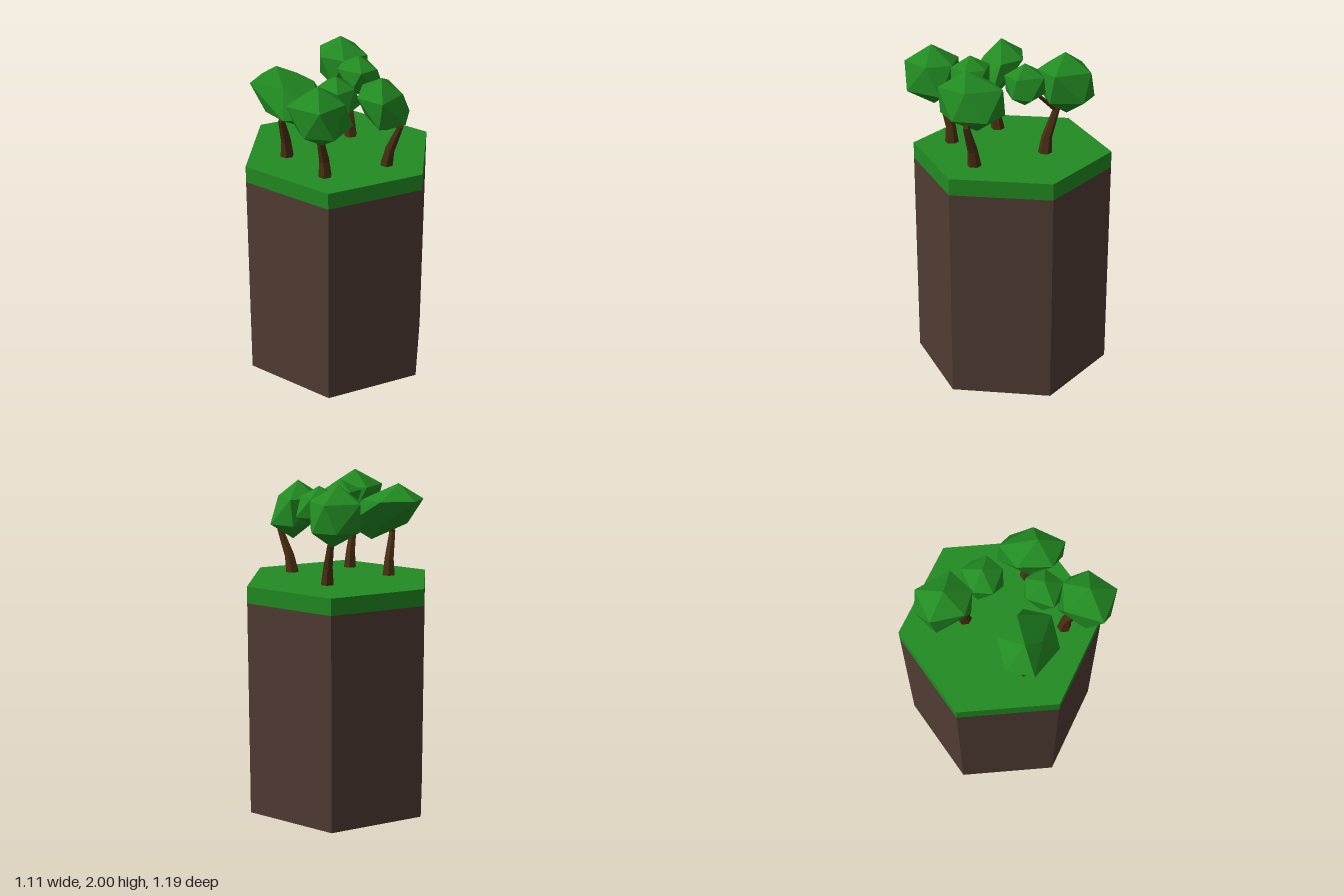
import * as THREE from 'three';
import { ConvexGeometry } from 'three/addons/geometries/ConvexGeometry.js';

const material = (name, color) => new THREE.MeshStandardMaterial({ name, color, flatShading: true });

// Faceted tube through a path, with one radius per path point
function limbGeometry(path, radii, sides = 6) {
  const points = path.map((p) => new THREE.Vector3(...p));
  const up = new THREE.Vector3(0, 1, 0);
  const positions = [], index = [];
  points.forEach((p, i) => {
    const before = points[Math.max(i - 1, 0)];
    const after = points[Math.min(i + 1, points.length - 1)];
    const direction = i === 0 ? up : after.clone().sub(before).normalize();
    const turn = new THREE.Quaternion().setFromUnitVectors(up, direction);
    for (let s = 0; s < sides; s++) {
      const a = (s / sides) * Math.PI * 2;
      const v = new THREE.Vector3(Math.sin(a), 0, Math.cos(a));
      v.multiplyScalar(radii[i]).applyQuaternion(turn).add(p);
      positions.push(v.x, v.y, v.z);
      if (i > 0) {
        const n = (s + 1) % sides, lo = (i - 1) * sides, hi = i * sides;
        index.push(lo + s, lo + n, hi + n, lo + s, hi + n, hi + s);
      }
    }
  });
  const geometry = new THREE.BufferGeometry();
  geometry.setAttribute('position', new THREE.Float32BufferAttribute(positions, 3));
  geometry.setIndex(index);
  const flat = geometry.toNonIndexed();
  flat.computeVertexNormals();
  return flat;
}

// Irregular twenty-sided crown: two poles, an upper ring and its mirror through the centre
function crownGeometry({ center: [x, y, z], height, top, ring }) {
  const half = height / 2;
  const points = [
    new THREE.Vector3(top[0], y + half, top[1]),
    new THREE.Vector3(2 * x - top[0], y - half, 2 * z - top[1]),
  ];
  for (const [rx, rz] of ring) {
    points.push(new THREE.Vector3(rx, y + half * 0.45, rz));
    points.push(new THREE.Vector3(2 * x - rx, y - half * 0.45, 2 * z - rz));
  }
  return new ConvexGeometry(points);
}

const crowns = {
  backRight: { center: [-0.215, 1.785, -0.165], height: 0.35, top: [-0.23, -0.25],
    ring: [[-0.34, -0.36], [-0.18, -0.395], [-0.055, -0.235], [-0.1, -0.075], [-0.29, -0.155]] },
  backLeft: { center: [0.31, 1.82, -0.16], height: 0.36, top: [0.295, -0.17],
    ring: [[0.305, -0.33], [0.465, -0.19], [0.34, -0.005], [0.175, -0.06], [0.15, -0.21]] },
  smallLeft: { center: [0.172, 1.84, 0.055], height: 0.25, top: [0.168, 0.05],
    ring: [[0.17, -0.07], [0.29, 0.03], [0.195, 0.165], [0.08, 0.13], [0.065, -0.03]] },
  smallRight: { center: [-0.165, 1.84, 0.135], height: 0.25, top: [-0.17, 0.13],
    ring: [[-0.11, 0.02], [-0.055, 0.13], [-0.13, 0.23], [-0.255, 0.2], [-0.27, 0.04]] },
  frontRight: { center: [-0.405, 1.82, 0.19], height: 0.36, top: [-0.415, 0.185],
    ring: [[-0.555, 0.07], [-0.33, 0.04], [-0.255, 0.19], [-0.35, 0.32], [-0.54, 0.285]] },
  front: { center: [0.005, 1.785, 0.34], height: 0.35, top: [-0.03, 0.345],
    ring: [[0.02, 0.18], [0.17, 0.26], [0.04, 0.445], [-0.16, 0.44], [-0.16, 0.27]] },
};

// Each trunk leans outward to a bend, then turns in under its crowns
const trees = [
  { name: 'frontTree', base: [0.03, 0.35], knee: [0.033, 0.37], bend: [0.04, 0.432], crowns: ['front'] },
  { name: 'backRightTree', base: [-0.215, -0.195], knee: [-0.228, -0.19], bend: [-0.29, -0.172], crowns: ['backRight'] },
  { name: 'frontRightTree', base: [-0.303, 0.147], knee: [-0.31, 0.147], bend: [-0.362, 0.158], crowns: ['frontRight', 'smallRight'] },
  { name: 'backLeftTree', base: [0.24, -0.055], knee: [0.247, -0.065], bend: [0.278, -0.108], crowns: ['backLeft', 'smallLeft'] },
];

export function createModel() {
  const model = new THREE.Group();
  model.name = 'islandWithTrees';
  const soil = material('soil', 0x503c33);
  const green = material('green', 0x228b22);
  const bark = material('bark', 0x4a2f12);

  const add = (parent, name, geometry, mat) => {
    const mesh = new THREE.Mesh(geometry, mat);
    mesh.name = name;
    parent.add(mesh);
    return mesh;
  };

  // Hexagonal ground column with a grass cap
  const slab = (name, bottom, top, mat) => {
    const geometry = new THREE.CylinderGeometry(0.595, 0.595, top - bottom, 6).toNonIndexed();
    geometry.computeVertexNormals();
    add(model, name, geometry, mat).position.set(0.037, (top + bottom) / 2, 0);
  };
  slab('soilColumn', 0, 1.3, soil);
  slab('grassCap', 1.3, 1.4, green);

  // Trees
  for (const { name, base, knee, bend, crowns: crownNames } of trees) {
    const tree = new THREE.Group();
    tree.name = name;
    model.add(tree);
    const at = ([x, z], y) => [x, y, z];
    add(tree, 'trunk', limbGeometry(
      [at(base, 1.395), at(knee, 1.5), at(bend, 1.655), crowns[crownNames[0]].center],
      [0.042, 0.031, 0.021, 0.013]), bark);
    if (crownNames[1]) {
      add(tree, 'branch', limbGeometry(
        [at(bend, 1.64), at(bend, 1.66), crowns[crownNames[1]].center], [0.018, 0.016, 0.009]), bark);
    }
    for (const crown of crownNames) add(tree, crown + 'Crown', crownGeometry(crowns[crown]), green);
  }
  return model;
}
